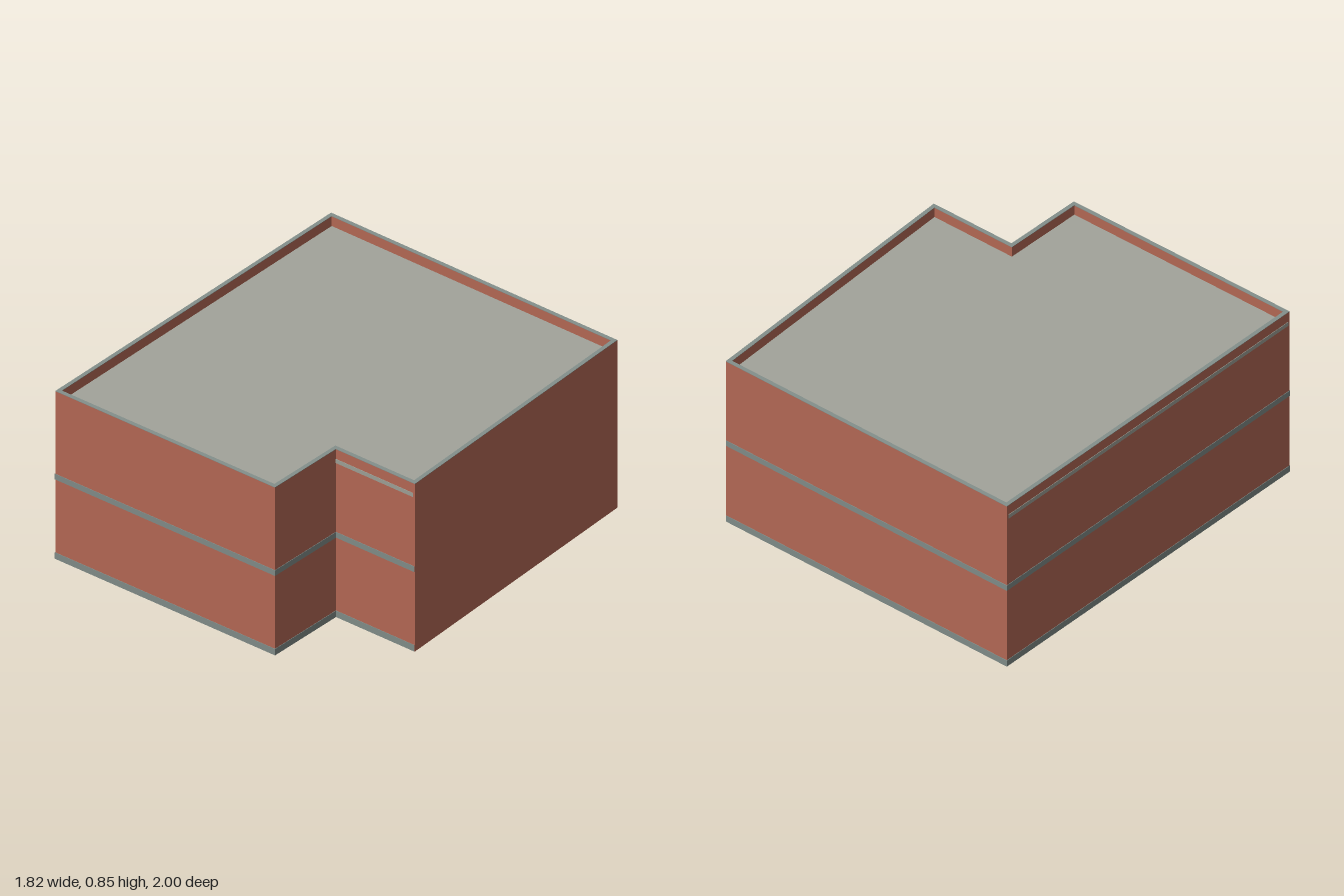
import * as THREE from 'three';

// Plan corners (x, z); edges run back, right, notch front, notch side, front, left
const PLAN = [[-0.91, -0.865], [0.691, -1], [0.909, 0.442], [0.469, 0.481], [0.506, 0.887], [-0.715, 0.998]];
const WALL = 0.02, HEIGHT = 0.845;
const even = d => PLAN.map(() => d);

// Move every edge outward by its own distance and return the new corners
function offsetPlan(dist) {
  const n = PLAN.length;
  const normals = PLAN.map(([x, z], i) => {
    const [x2, z2] = PLAN[(i + 1) % n];
    const len = Math.hypot(x2 - x, z2 - z);
    return [(z2 - z) / len, -(x2 - x) / len];
  });
  return PLAN.map(([x, z], i) => {
    const p = (i + n - 1) % n;
    const [ax, az] = normals[p], [bx, bz] = normals[i];
    const det = ax * bz - az * bx;
    return new THREE.Vector2(
      x + (dist[p] * bz - dist[i] * az) / det,
      -(z + (ax * dist[i] - bx * dist[p]) / det));
  });
}

// Vertical prism over the plan, solid or hollow; the hole winds against the outline
function prism(name, material, y0, y1, outer, inner) {
  const shape = new THREE.Shape(offsetPlan(outer));
  if (inner) shape.holes.push(new THREE.Path(offsetPlan(inner).reverse()));
  const geo = new THREE.ExtrudeGeometry(shape, { depth: y1 - y0, bevelEnabled: false });
  geo.rotateX(-Math.PI / 2);
  geo.translate(0, y0, 0);
  const mesh = new THREE.Mesh(geo, material);
  mesh.name = name;
  return mesh;
}

export function createModel() {
  const brick = new THREE.MeshStandardMaterial({ color: 0xb96b57 });
  const trim = new THREE.MeshStandardMaterial({ color: 0x84908c });
  const roof = new THREE.MeshStandardMaterial({ color: 0xa2a49b });
  const group = new THREE.Group();
  group.name = 'building';

  // Hollow brick shell, open below, rising past the roof as a parapet
  group.add(prism('walls', brick, 0, HEIGHT - 0.002, even(0), even(-WALL)));
  group.add(prism('parapetCap', trim, HEIGHT - 0.002, HEIGHT, even(0), even(-WALL)));

  // Roof slab, its edge showing on the notch front and left wall
  const buried = -WALL / 2;
  group.add(prism('roofSlab', roof, 0.775, 0.795, [buried, buried, 0.002, buried, buried, 0.002]));

  // Storey bands, slightly proud of all walls except the plain right one
  const proud = [0.002, -0.003, 0.002, 0.002, 0.002, 0.002];
  for (const [name, y0, y1] of [['baseBand', 0, 0.032], ['middleBand', 0.4, 0.428]]) {
    group.add(prism(name, trim, y0, y1, proud, even(buried)));
  }
  return group;
}
